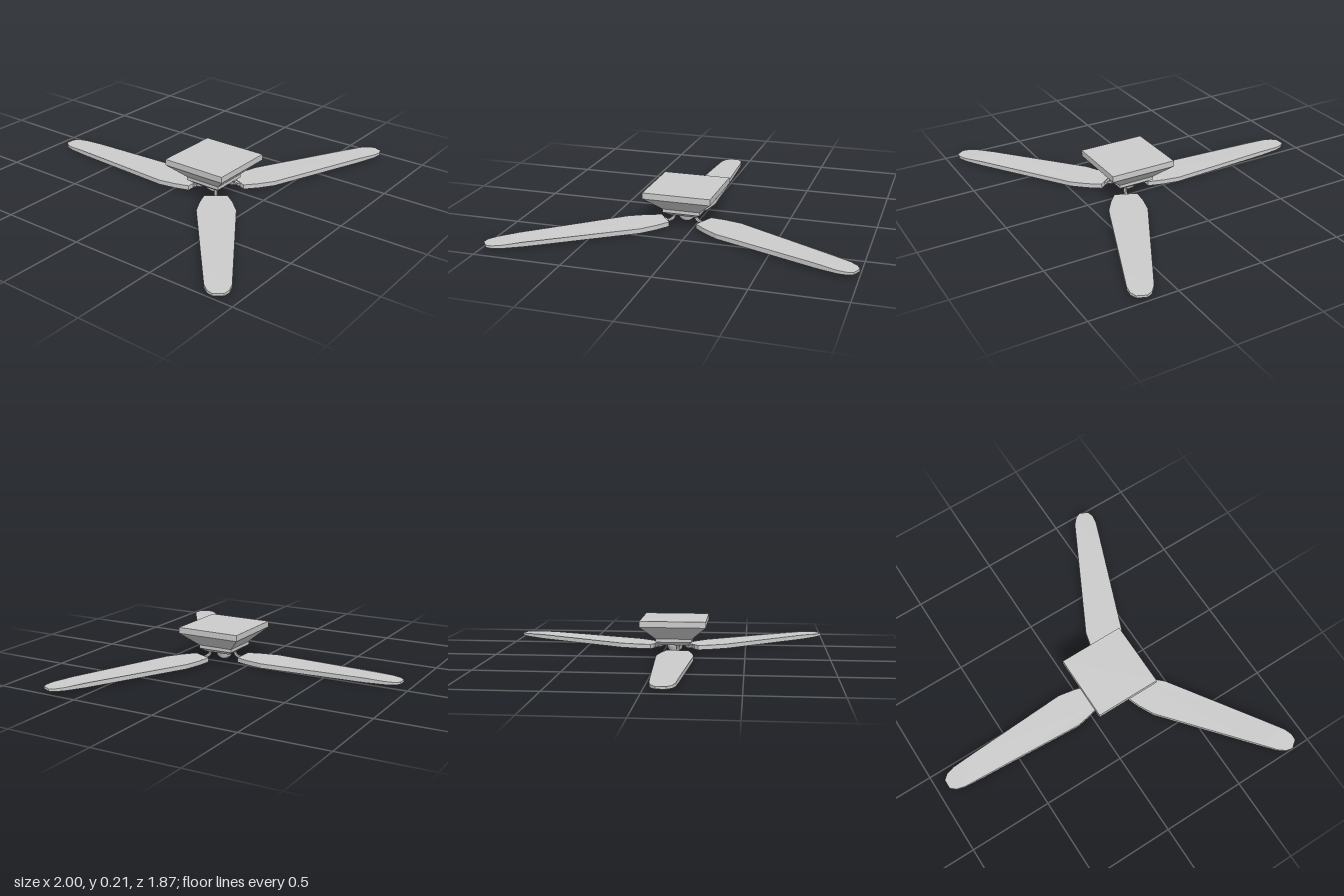
import * as THREE from 'three';

const mat = new THREE.MeshStandardMaterial({ color: 0xcccccc, flatShading: true });
const HUB = [-0.07, 0.2];

function add(parent, geo, name) {
  const m = new THREE.Mesh(geo, mat);
  m.name = name;
  parent.add(m);
  return m;
}

// square block, optionally tapering from one half-width to another
function squareTier(parent, name, topHalf, bottomHalf, y0, y1) {
  const g = new THREE.CylinderGeometry(topHalf * Math.SQRT2, bottomHalf * Math.SQRT2, y1 - y0, 4);
  g.rotateY(Math.PI / 4);
  add(parent, g, name).position.y = (y0 + y1) / 2;
}

// flat blade: x runs from the root (negative) to the tip at 0, thinner at the tip
function bladeGeometry() {
  const half = [[0, 0.028], [0.03, 0.054], [0.08, 0.068], [0.2, 0.075], [0.835, 0.11], [0.935, 0.092], [1.02, 0.066]];
  const outline = [
    ...half.map(([d, w]) => new THREE.Vector2(-d, w)),
    ...half.map(([d, w]) => new THREE.Vector2(-d, -w)).reverse(),
  ];
  const t = 0.027;
  const g = new THREE.ExtrudeGeometry(new THREE.Shape(outline), { depth: t, bevelEnabled: false });
  g.translate(0, 0, -t / 2).rotateX(-Math.PI / 2);
  const p = g.attributes.position;
  for (let i = 0; i < p.count; i++) {
    const k = THREE.MathUtils.clamp(-p.getX(i) / 0.2, 0, 1);
    p.setY(i, p.getY(i) * (0.5 + 0.5 * k));
  }
  g.computeVertexNormals();
  return g;
}

export function createModel() {
  const model = new THREE.Group();
  model.name = 'ceilingFan';

  // stepped square housing
  const housing = new THREE.Group();
  housing.name = 'housing';
  housing.position.set(HUB[0], 0, HUB[1]);
  squareTier(housing, 'ceilingPlate', 0.198, 0.198, 0.178, 0.214);
  squareTier(housing, 'taperedHousing', 0.198, 0.11, 0.096, 0.178);
  squareTier(housing, 'lowerPlate', 0.11, 0.11, 0.076, 0.096);
  squareTier(housing, 'lowerTaper', 0.108, 0.08, 0.054, 0.076);

  // rounded cap under the motor
  const cap = [[0.001, 0], [0.024, 0.005], [0.042, 0.02], [0.05, 0.042], [0.05, 0.056]];
  add(housing, new THREE.LatheGeometry(cap.map(([r, y]) => new THREE.Vector2(r, y)), 12), 'hubCap');
  model.add(housing);

  // three blades with their bent arms: tip x, tip z, blade height, angle
  const blade = bladeGeometry();
  const blades = [
    ['backBlade', -0.094, -0.935, 0.016, 90],
    ['leftBlade', 0.985, 0.7, 0.026, -24.3],
    ['rightBlade', -0.983, 0.906, 0.021, 217.2],
  ];
  for (const [name, x, z, y, deg] of blades) {
    const g = new THREE.Group();
    g.name = name + 'Assembly';
    g.position.set(x, y, z);
    g.rotation.y = THREE.MathUtils.degToRad(deg);
    add(g, blade, name);
    const path = new THREE.CatmullRomCurve3([
      [-1.078, 0.06 - y], [-1.074, 0.04 - y], [-1.062, 0.006], [-1.045, 0], [-1.0, 0],
    ].map(([px, py]) => new THREE.Vector3(px, py, 0)));
    add(g, new THREE.TubeGeometry(path, 12, 0.01, 8), 'bladeArm');
    add(g, new THREE.BoxGeometry(0.02, 0.016, 0.05), 'armBracket').position.x = -1.022;
    model.add(g);
  }
  return model;
}
